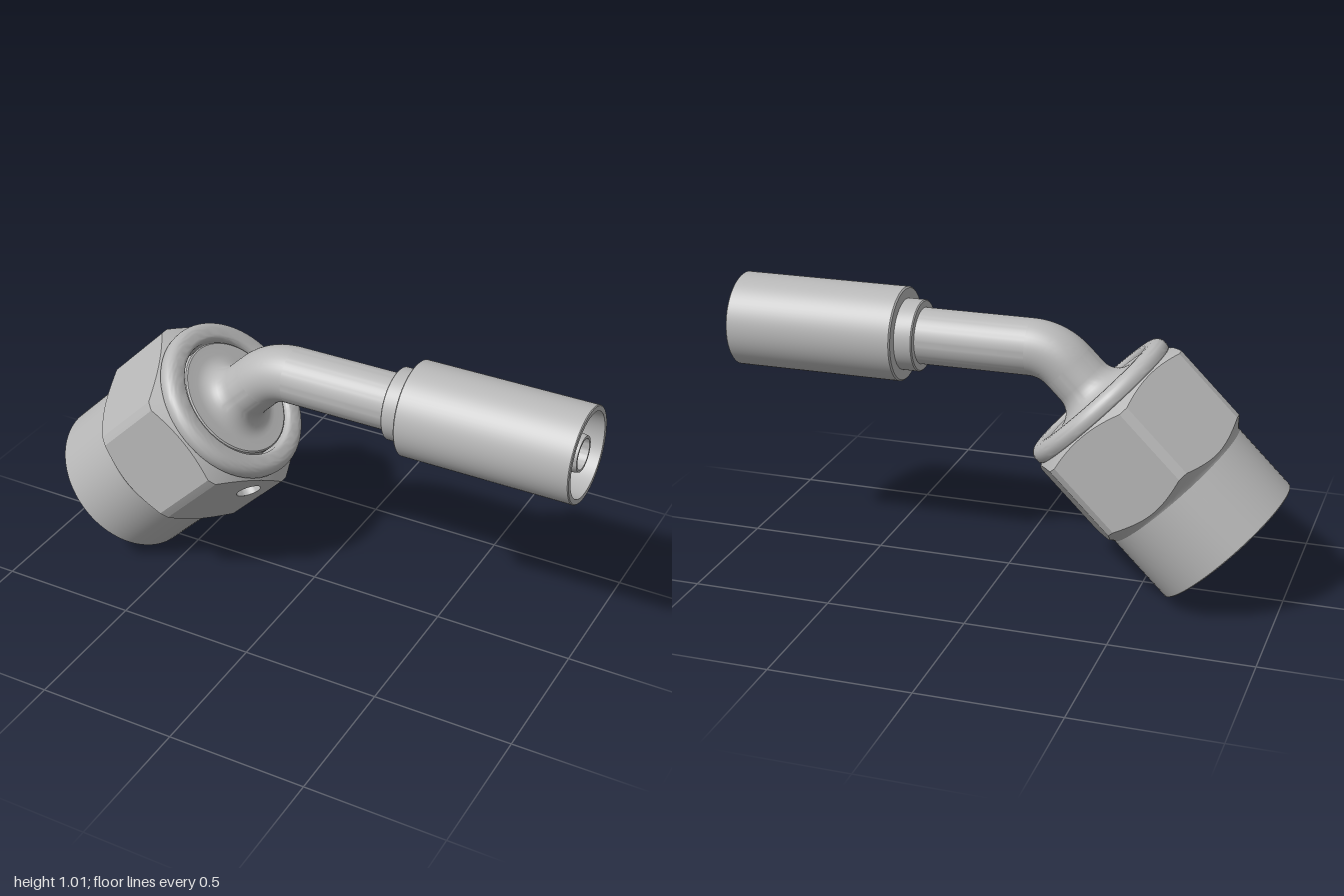
import * as THREE from 'three';
import { toCreasedNormals } from 'three/addons/utils/BufferGeometryUtils.js';

const steel = new THREE.MeshStandardMaterial({ color: 0xb8b8b8 });
steel.name = 'steel grey';

function part(name, geometry, crease = 0.6) {
  const mesh = new THREE.Mesh(toCreasedNormals(geometry, crease), steel);
  mesh.name = name;
  return mesh;
}

// Turned part: [radius, height] pairs, rising outside and falling inside
function turned(name, points, segments = 72) {
  return part(name, new THREE.LatheGeometry(points.map(([r, y]) => new THREE.Vector2(r, y)), segments));
}

// Quarter-round points for a profile, from angle a to angle b in degrees
function arc(cx, cy, r, a, b, n = 6) {
  return Array.from({ length: n + 1 }, (_, i) => {
    const t = THREE.MathUtils.degToRad(a + ((b - a) * i) / n);
    return [cx + r * Math.cos(t), cy + r * Math.sin(t)];
  });
}

// Hex section of the nut: flats clipped by a round blank, a fillet below and a chamfer above
const FLAT = 0.3025, ROUND = 0.34, SKIRT = 0.29;
const HALF = Math.acos(FLAT / ROUND);
const filletY = (r) => 0.265 + 0.05 * Math.pow(Math.max(0, r - SKIRT) / 0.05, 0.75);
const chamferY = (r) => 0.607 + (ROUND - r) * 0.6;
const FILLET_ROWS = 6, FLAT_STEPS = 14;

function hexGeometry(openFlat) {
  const columns = [];
  for (let k = 0; k < 6; k++) {
    const mid = Math.PI / 6 + (k * Math.PI) / 3;
    for (let i = 0; i < FLAT_STEPS; i++) {
      const phi = -HALF + (2 * HALF * i) / FLAT_STEPS;
      columns.push({ theta: mid + phi, R: FLAT / Math.cos(phi), flat: k });
    }
    for (let i = 0; i < 2; i++) {
      columns.push({ theta: mid + HALF + (i / 2) * (Math.PI / 3 - 2 * HALF), R: ROUND, flat: -1 });
    }
  }
  const positions = [], index = [], rows = FILLET_ROWS + 3;
  for (const { theta, R } of columns) {
    const put = (r, y) => positions.push(r * Math.cos(theta), y, r * Math.sin(theta));
    for (let j = 0; j <= FILLET_ROWS; j++) {
      const r = SKIRT + ((R - SKIRT) * j) / FILLET_ROWS;
      put(r, filletY(r));
    }
    put(R, chamferY(R));
    put(0.28, chamferY(0.28));
  }
  columns.forEach((column, i) => {
    const next = (i + 1) % columns.length;
    for (let j = 0; j < rows - 1; j++) {
      if (j === FILLET_ROWS && column.flat === openFlat) continue;
      const a = i * rows + j, b = next * rows + j;
      index.push(a, a + 1, b, b, a + 1, b + 1);
    }
  });
  const geometry = new THREE.BufferGeometry();
  geometry.setAttribute('position', new THREE.Float32BufferAttribute(positions, 3));
  geometry.setIndex(index);
  return geometry;
}

// The one flat with a drilled hole, placed where the hex leaves a gap
function drilledFlat() {
  const group = new THREE.Group();
  group.name = 'drilledFlat';
  const outline = [];
  const us = Array.from({ length: FLAT_STEPS + 1 }, (_, i) =>
    FLAT * Math.tan(-HALF + (2 * HALF * i) / FLAT_STEPS));
  for (const u of us) outline.push(new THREE.Vector2(u, filletY(Math.hypot(FLAT, u))));
  for (const u of us.reverse()) outline.push(new THREE.Vector2(u, chamferY(Math.hypot(FLAT, u))));
  const shape = new THREE.Shape(outline);
  const u0 = 0.059, y0 = 0.53, r = 0.045;
  shape.holes.push(new THREE.Path().absarc(u0, y0, r, 0, Math.PI * 2, true));
  const hole = turned('drilledHole', [[r, 0], [r, -0.035], [0, -0.035]], 32);
  hole.rotation.x = Math.PI / 2;
  hole.position.set(u0, y0, 0);
  group.add(part('flatFace', new THREE.ShapeGeometry(shape, 24)), hole);
  group.position.set(FLAT * Math.cos(Math.PI / 6), 0, FLAT * Math.sin(Math.PI / 6));
  group.rotation.y = Math.PI / 3;
  return group;
}

export function createModel() {
  const model = new THREE.Group();
  model.name = 'elbowHoseFitting';

  // Swivel nut and tube seat, leaning at 45 degrees
  const lower = new THREE.Group();
  lower.name = 'swivelEnd';
  lower.position.set(-0.795, 0.205, 0);
  lower.rotation.z = -Math.PI / 4;
  lower.add(
    part('nutHex', hexGeometry(0), 0.3),
    drilledFlat(),
    // Rounded collar, then the bore down to the skirt rim and up its outside
    turned('nutBody', [
      [0.28, 0.635], ...arc(0.288, 0.645, 0.012, -60, 0, 3),
      ...arc(0.265, 0.657, 0.036, 0, 90, 8), ...arc(0.243, 0.675, 0.018, 90, 180, 5),
      [0.225, 0.5], [0.265, 0.45], [0.265, 0.012], [0.274, 0],
      [0.286, 0], [0.29, 0.004], [0.29, 0.266],
    ]),
    // Seat inside the nut, flowing into the bent tube
    turned('tubeSeat', [
      [0, 0.45], [0.07, 0.45], [0.07, 0.36], [0.15, 0.36], [0.215, 0.43], [0.255, 0.45],
      [0.255, 0.46], [0.217, 0.5], [0.217, 0.676], [0.212, 0.68],
      ...arc(0.17, 0.75, 0.07, -90, -180, 8), [0.1, 0.82],
    ]),
  );

  // 45 degree bend
  const bend = part('tubeBend', new THREE.TorusGeometry(0.19, 0.1, 48, 20, Math.PI / 4));
  bend.rotation.z = Math.PI / 2;
  bend.position.set(-0.081, 0.65, 0);

  // Straight tube and crimp sleeve along x
  const upper = new THREE.Group();
  upper.name = 'hoseEnd';
  upper.position.set(0, 0.84, 0);
  upper.rotation.z = -Math.PI / 2;
  upper.add(
    turned('straightTube', [[0.1, -0.082], [0.1, 0.32]]),
    turned('stopCollar', [[0.1, 0.315], [0.123, 0.315], [0.127, 0.319], [0.127, 0.385]]),
    turned('crimpSleeve', [
      [0.12, 0.38], [0.163, 0.38], [0.168, 0.385], [0.168, 0.997], [0.165, 1],
      [0.148, 1], [0.128, 0.5], [0.128, 0.45], [0.075, 0.45],
    ]),
    turned('hoseStem', [
      [0.082, 0.45], [0.082, 0.6], [0.065, 0.97], [0.062, 0.985],
      [0.053, 0.985], [0.053, 0.4], [0, 0.36],
    ], 48),
  );

  model.add(lower, bend, upper);
  return model;
}
